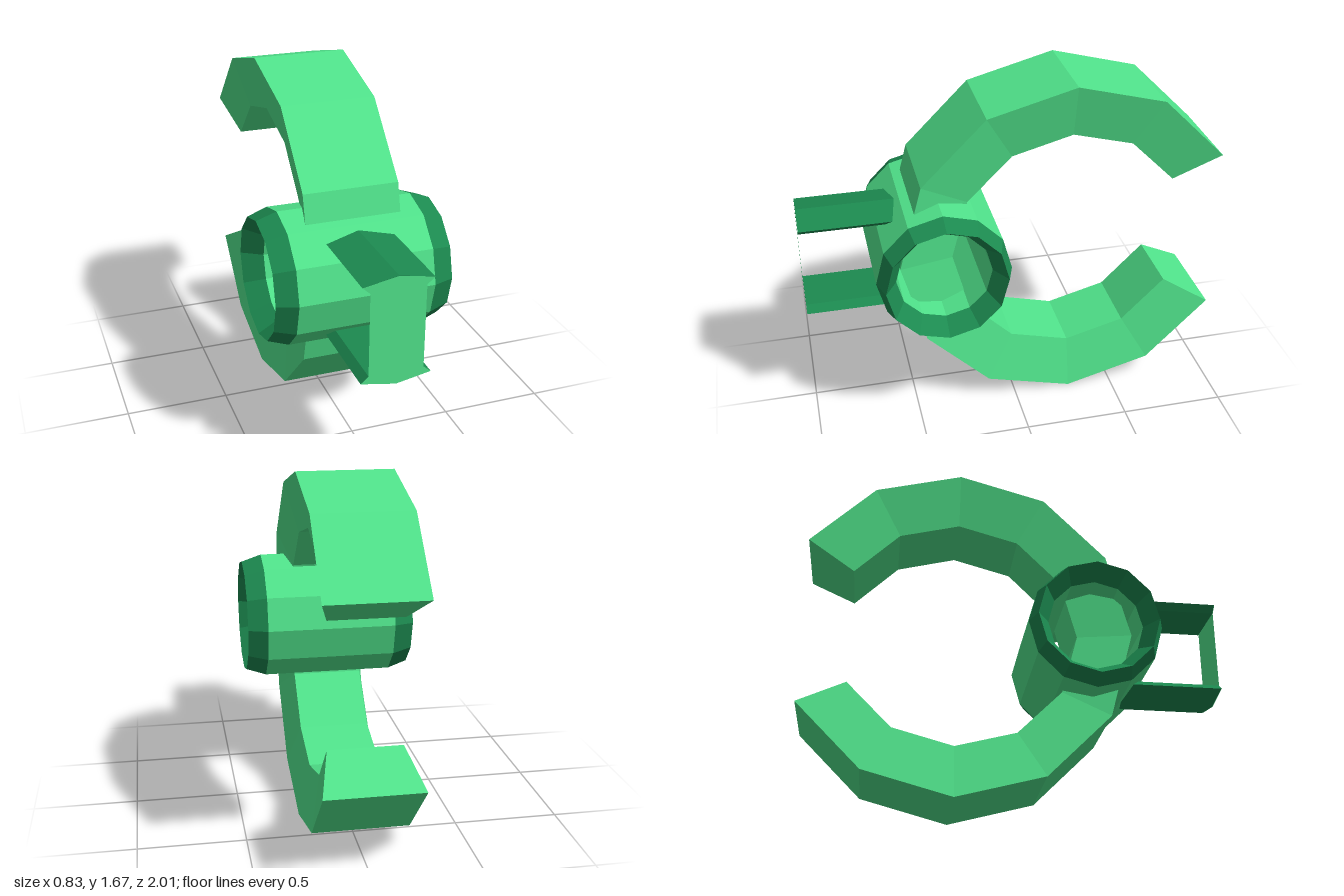
import * as THREE from 'three';
import { mergeGeometries } from 'three/addons/utils/BufferGeometryUtils.js';

export function createModel() {
  const model = new THREE.Group();
  const paint = (color) => new THREE.MeshStandardMaterial({ color, flatShading: true, side: THREE.DoubleSide });
  const light = paint(0x50e38b);
  const dark = paint(0x1c8a50);

  const add = (name, geometry, material, y, z) => {
    const mesh = new THREE.Mesh(geometry, material);
    mesh.name = name;
    mesh.position.set(0, y, z);
    model.add(mesh);
  };
  const toPoints = (pairs) => pairs.map(([x, y]) => new THREE.Vector2(x, y));

  // Open ring: a wedge-shaped section, narrower inside, swept in ten segments with the gap at the back
  const section = toPoints([[0.835, -0.225], [0.835, 0.225], [0.579, 0.17], [0.579, -0.17], [0.835, -0.225]]);
  const start = Math.PI * 7 / 6, sweep = Math.PI * 10 / 6;
  const caps = [start, start + sweep].map((phi) =>
    new THREE.ShapeGeometry(new THREE.Shape(section)).rotateY(phi - Math.PI / 2));
  const ring = mergeGeometries([new THREE.LatheGeometry(section, 10, start, sweep), ...caps]);
  add('openRing', ring.rotateZ(Math.PI / 2), light, 0.838, -0.28);

  // Hollow barrel lying across the ring
  const tube = (pairs) => new THREE.LatheGeometry(toPoints(pairs), 12).rotateZ(Math.PI / 2);
  add('barrel', tube([[0.318, -0.32], [0.318, 0.32]]), light, 0.838, 0.362);
  add('barrelBore', tube([[0.226, 0.32], [0.226, -0.32]]), light, 0.838, 0.362);

  // Darker rims, tapered outside and flared inside, and ridged arms reaching forward
  for (const s of [1, -1]) {
    const rim = tube([[0.318, s * 0.32], [0.285, s * 0.417], [0.226, s * 0.32]]);
    add(s > 0 ? 'rightRim' : 'leftRim', rim, dark, 0.838, 0.362);

    const profile = toPoints([[-0.125, s * 0.195], [0.125, s * 0.195], [0.16, s * 0.226],
      [0, s * 0.256], [-0.16, s * 0.226]]);
    const arm = new THREE.ExtrudeGeometry(new THREE.Shape(profile), { depth: 0.49, bevelEnabled: false });
    add(s > 0 ? 'upperArm' : 'lowerArm', arm, dark, 0.838, 0.51);
  }

  // Thin plate across the front, covering the ends of both arms
  const plate = toPoints([[-0.125, -0.195], [-0.16, -0.226], [0, -0.256], [0.16, -0.226], [0.125, -0.195],
    [0.125, 0.195], [0.16, 0.226], [0, 0.256], [-0.16, 0.226], [-0.125, 0.195]]);
  add('frontPlate', new THREE.ShapeGeometry(new THREE.Shape(plate)), light, 0.838, 1.002);

  return model;
}
